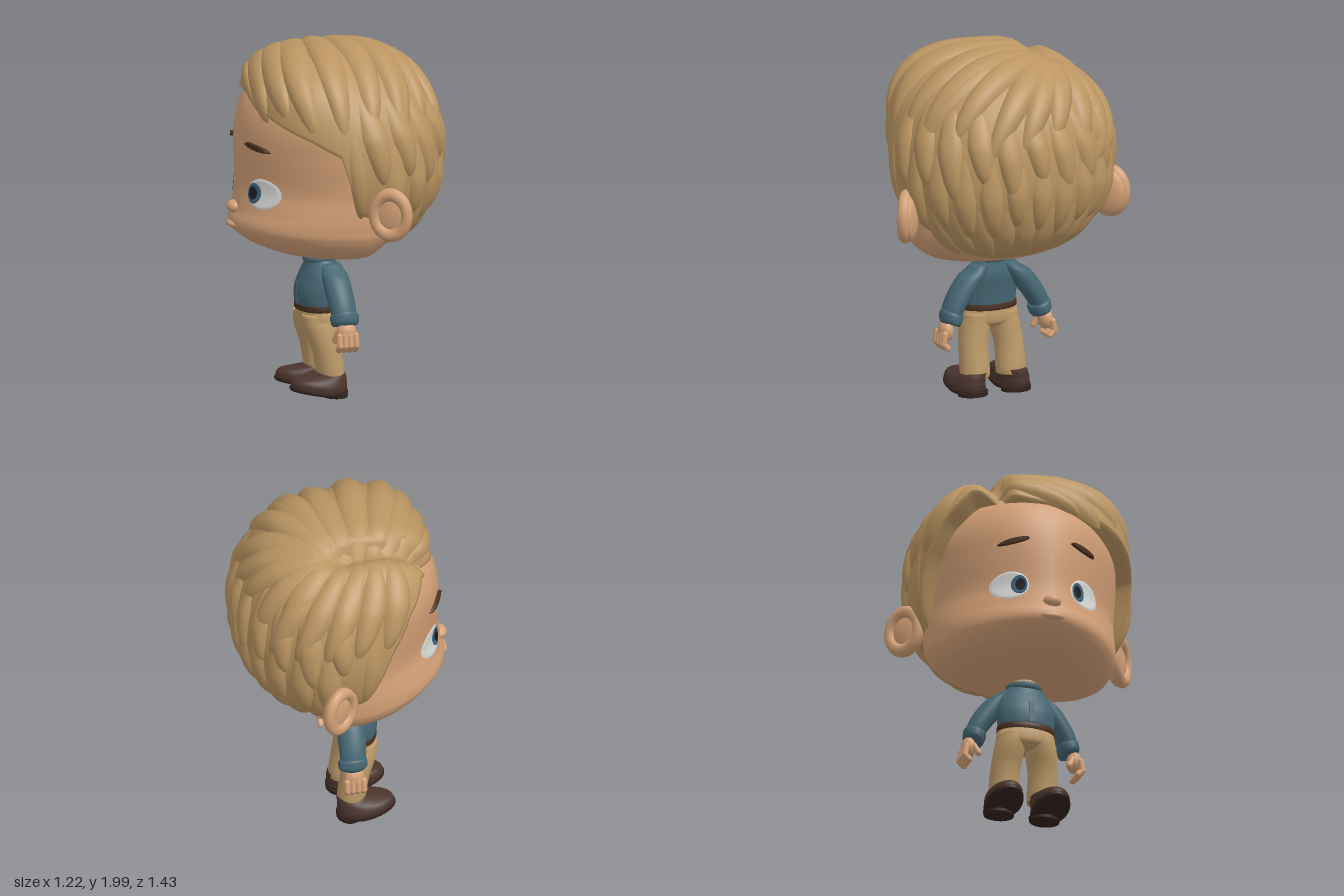
import * as THREE from 'three';
import { mergeVertices, mergeGeometries } from 'three/addons/utils/BufferGeometryUtils.js';

const V = (x, y, z) => new THREE.Vector3(x, y, z);
const paint = (name, color) => {
  const m = new THREE.MeshStandardMaterial({ color, side: THREE.DoubleSide });
  m.name = name;
  return m;
};
const RAD = Math.PI / 180;

// Smooth surface from a rule p(u, v), u and v running 0..1
function grid(p, nu, nv) {
  const pos = [], idx = [];
  for (let j = 0; j <= nv; j++)
    for (let i = 0; i <= nu; i++) pos.push(...p(i / nu, j / nv).toArray());
  for (let j = 0; j < nv; j++)
    for (let i = 0; i < nu; i++) {
      const a = j * (nu + 1) + i, d = a + nu + 1;
      idx.push(a, a + 1, d, a + 1, d + 1, d);
    }
  let g = new THREE.BufferGeometry();
  g.setAttribute('position', new THREE.Float32BufferAttribute(pos, 3));
  g.setIndex(idx);
  g = mergeVertices(g, 1e-5);
  g.computeVertexNormals();
  return g;
}

// Catmull-Rom between rows; the first column (height) stays linear
function rowAt(rows, f) {
  const n = rows.length - 1, i = Math.min(Math.floor(f), n - 1), t = f - i;
  const [a, b, c, d] = [Math.max(i - 1, 0), i, i + 1, Math.min(i + 2, n)].map(k => rows[k]);
  return b.map((q, k) => {
    if (k === 0) return q + (c[0] - q) * t;
    const cubic = 3 * (q - c[k]) + d[k] - a[k];
    const square = 2 * a[k] - 5 * q + 4 * c[k] - d[k];
    return q + 0.5 * t * (c[k] - a[k] + t * (square + t * cubic));
  });
}

// Closed loft through rows of [y, cx, cz, rx, rz]
function loft(rows, warp = p => p) {
  const n = (rows.length - 1) * 5;
  return grid((u, v) => {
    const k = Math.round(v * (n + 2)) - 1;
    const [y, cx, cz, rx, rz] = rowAt(rows, THREE.MathUtils.clamp(k, 0, n) / 5);
    const r = k < 0 || k > n ? 0 : 1, a = u * 2 * Math.PI;
    return warp(V(cx - r * rx * Math.cos(a), y, cz + r * rz * Math.sin(a)));
  }, 28, n + 2);
}

// Head rows: [y, front x, back x, half width, front roundness]
const HEAD = [
  [0.785, 0.018, 0.022, 0.002, 2], [0.80, -0.22, 0.15, 0.27, 2], [0.83, -0.36, 0.2, 0.40, 2],
  [0.88, -0.48, 0.25, 0.48, 1.9], [0.95, -0.57, 0.31, 0.525, 1.8], [1.0, -0.595, 0.35, 0.535, 1.75],
  [1.07, -0.575, 0.38, 0.54, 1.7], [1.2, -0.56, 0.42, 0.535, 1.6], [1.4, -0.56, 0.45, 0.54, 1.75],
  [1.55, -0.545, 0.44, 0.53, 1.9], [1.68, -0.5, 0.4, 0.47, 2], [1.78, -0.4, 0.3, 0.36, 2], [1.84, -0.12, 0.1, 0.1, 2]];
const HX = 0.02;
function headGeometry() {
  const n = HEAD.length - 1;
  return grid((u, v) => {
    const [y, f, b, w, e] = rowAt(HEAD, v * n);
    const a = u * 2 * Math.PI, c = Math.cos(a), s = Math.sin(a), q = c > 0 ? 2 / e : 1;
    const reach = c > 0 ? HX - f : b - HX;
    return V(HX - Math.sign(c) * Math.abs(c) ** q * reach, y, Math.sign(s) * Math.abs(s) ** q * w);
  }, 72, n * 5);
}
function faceX(y, z) {
  let i = 0;
  while (i < HEAD.length - 2 && HEAD[i + 1][0] < y) i++;
  const [, f, , w, e] = rowAt(HEAD, i + (y - HEAD[i][0]) / (HEAD[i + 1][0] - HEAD[i][0]));
  return HX - (HX - f) * Math.max(0, 1 - (Math.abs(z) / w) ** e) ** (1 / e);
}
// Thin oval lying on the face
const facePatch = (y0, z0, ry, rz, off, slope = 0) => grid((r, a) => {
  const t = a * 2 * Math.PI, dz = r * rz * Math.cos(t);
  const z = z0 + dz, y = y0 + r * ry * Math.sin(t) + slope * dz;
  return V(faceX(y, z) - (r === 1 ? 0 : off), y, z);
}, 10, 32);

// Hair volume as a distance along a direction from the head's middle
const HC = V(0.02, 1.37, 0);
const dirOf = (phi, beta) => V(-Math.cos(phi * RAD) * Math.cos(beta * RAD), Math.sin(beta * RAD), Math.sin(phi * RAD) * Math.cos(beta * RAD));
function hairPoint(d, off = 0) {
  const n = 2.15 + 2.2 * Math.max(0, -d.x) * Math.max(0, d.y);
  const s = (Math.abs(d.x) / (d.x < 0 ? 0.55 : 0.56)) ** n + (Math.abs(d.y) / (d.y > 0 ? 0.6 : 0.57)) ** n + (Math.abs(d.z) / 0.62) ** n;
  const r = s ** (-1 / n), p = d.clone().multiplyScalar(r).add(HC);
  // Groove of the parting
  const across = (p.z + 0.28) / 0.055;
  const along = THREE.MathUtils.smoothstep(p.y, 1.5, 1.65) * (1 - THREE.MathUtils.smoothstep(p.x, 0, 0.2));
  const cut = 0.1 * Math.exp(-across * across) * along;
  return d.clone().multiplyScalar(r - cut + off).add(HC);
}
// Hairline height by angle round the head
const EDGE = [[-180, 0.81], [-112, 0.82], [-102, 0.95], [-96, 1.08], [-85, 1.1], [-72, 1.42], [-60, 1.6], [-45, 1.72], [0, 1.7],
  [30, 1.63], [60, 1.52], [75, 1.44], [85, 1.12], [96, 1.08], [102, 0.95], [112, 0.82], [180, 0.81]];
function hairCap() {
  return grid((u, v) => {
    const phi = u * 360 - 180;
    let i = 0;
    while (i < EDGE.length - 2 && EDGE[i + 1][0] < phi) i++;
    const [p, q] = [EDGE[i], EDGE[i + 1]];
    const y = q[1] + (p[1] - q[1]) * (q[0] - phi) / (q[0] - p[0]);
    const b0 = Math.asin((y - HC.y) / 0.6) / RAD;
    const row = Math.round(v * 42), t = Math.max(0, (row - 2) / 40);
    return hairPoint(dirOf(phi, b0 + (90 - b0) * t), row === 0 ? -0.16 : row === 1 ? -0.025 : 0);
  }, 120, 42);
}
// Tapered lock hugging the hair volume
function lock(phi0, beta0, phi1, beta1, W, H, bend = 0) {
  const a = dirOf(phi0, beta0), c = dirOf(phi1, beta1);
  const side = a.clone().cross(c).normalize();
  const mid = a.clone().add(c).normalize().multiplyScalar(1.1).addScaledVector(side, bend);
  const curve = new THREE.QuadraticBezierCurve3(a, mid, c);
  return grid((u, t) => {
    const s = u * 2 - 1, d = curve.getPoint(t).normalize();
    const across = curve.getTangent(t).cross(d).normalize();
    const w = W * Math.min(1, 0.45 + 1.3 * t) * Math.sqrt(Math.max(0, 1 - t ** 2.2));
    const off = -0.012 + (H + 0.012) * (1 - Math.abs(s) ** 2.6) * Math.min(1, 0.25 + 1.5 * t) * (1 - t ** 8);
    return hairPoint(d.addScaledVector(across, s * w).normalize(), off);
  }, 10, 18);
}

export function createModel() {
  const skin = paint('skin', 0xd3a077), hair = paint('hair', 0xbb9562), shirt = paint('shirt blue', 0x456672),
    pants = paint('trouser tan', 0xbd9a68), shoe = paint('shoe brown', 0x4b352d), sole = paint('sole dark brown', 0x33241e),
    white = paint('eye white', 0xd8d8d6), blue = paint('iris blue', 0x3d617a), black = paint('pupil black', 0x1c1a1e),
    brown = paint('belt and brow brown', 0x4a2f20);
  const model = new THREE.Group();
  const add = (name, geo, mat, pos = [0, 0, 0]) => {
    const m = new THREE.Mesh(geo, mat);
    m.name = name;
    m.position.set(...pos);
    model.add(m);
    return m;
  };
  const ball = (name, mat, pos, size) => add(name, new THREE.SphereGeometry(1, 28, 18), mat, pos).scale.set(...size);
  const limb = (name, mat, r, ...pts) =>
    pts.slice(1).forEach((b, i) => {
      const p = V(...pts[i]), q = V(...b), d = q.clone().sub(p);
      const m = add(name, new THREE.CapsuleGeometry(r, d.length(), 5, 12), mat, p.add(q).multiplyScalar(0.5).toArray());
      m.quaternion.setFromUnitVectors(V(0, 1, 0), d.normalize());
    });

  // Head and face
  add('head', headGeometry(), skin);
  ball('nose', skin, [-0.57, 1.08, 0], [0.042, 0.036, 0.052]);
  ball('lowerLip', skin, [-0.575, 0.985, 0], [0.035, 0.022, 0.07]);
  add('neck', new THREE.CylinderGeometry(0.07, 0.075, 0.14, 24), skin, [-0.07, 0.78, 0]);

  // Hair: cap, then layered locks from nape to crown
  add('hairCap', hairCap(), hair);
  const locks = [];
  for (let i = 0; i < 10; i++) locks.push(lock(112 + i * 15, -15, 116 + i * 14.2, -62 + 4 * Math.sin(i * 2.3), 0.13, 0.022));
  for (let i = 0; i < 11; i++) locks.push(lock(104 + i * 15, 12, 106 + i * 14.8, -36 + 5 * Math.sin(i * 1.9), 0.14, 0.03));
  for (let i = 0; i < 11; i++) locks.push(lock(88 + i * 17, 38, 98 + i * 16.4, -10 + 6 * Math.sin(i * 2.7), 0.15, 0.034));
  for (let i = 0; i < 7; i++) locks.push(lock(-105, 62, 108 + i * 20, 14 + 5 * Math.sin(i * 2.1), 0.17, 0.04, -0.06));
  add('backLocks', mergeGeometries(locks), hair);
  // Front sweep, from the parting across the forehead
  const sweep = [];
  for (let i = 0; i < 6; i++) sweep.push(lock(-48 - i * 10, 48 + i * 3, 32 + i * 15, 22 - i * 2 + 3 * Math.sin(i * 2), 0.17, 0.035, 0.1));
  sweep.push(lock(-42, 42, 22, 27, 0.1, 0.035, 0.04));
  add('frontSweep', mergeGeometries(sweep), hair);
  // Short side of the parting
  const shortSide = [];
  for (let i = 0; i < 5; i++) shortSide.push(lock(-55 - i * 13, 52 + i * 2, -76 - i * 16, 8 - 2 * i, 0.15, 0.04, 0.05));
  add('shortSideLocks', mergeGeometries(shortSide), hair);

  // Torso, belt and hips
  add('torso', loft([[0.47, -0.1, 0, 0.1, 0.152], [0.52, -0.105, 0, 0.107, 0.16], [0.6, -0.1, 0, 0.11, 0.165],
    [0.68, -0.08, 0, 0.1, 0.15], [0.74, -0.072, 0, 0.085, 0.11], [0.78, -0.07, 0, 0.08, 0.085]]), shirt);
  const collar = add('collar', new THREE.TorusGeometry(0.08, 0.022, 10, 32), shirt, [-0.07, 0.765, 0]);
  collar.rotation.set(Math.PI / 2, 0.12, 0);
  add('placket', new THREE.BoxGeometry(0.008, 0.12, 0.03), shirt, [-0.211, 0.57, 0]);
  add('belt', loft([[0.475, -0.102, 0, 0.108, 0.163], [0.49, -0.102, 0, 0.11, 0.165], [0.508, -0.102, 0, 0.108, 0.163]]), brown);
  add('hips', loft([[0.375, -0.1, 0, 0.07, 0.1], [0.4, -0.1, 0, 0.1, 0.16], [0.44, -0.1, 0, 0.106, 0.168], [0.485, -0.1, 0, 0.103, 0.16]]), pants);

  for (const s of [1, -1]) {
    // Eye and brow
    add('eyeWhite', facePatch(1.185, s * 0.215, 0.085, 0.095, 0.006), white);
    add('iris', facePatch(1.185, s * 0.17, 0.062, 0.043, 0.009), blue);
    add('pupil', facePatch(1.185, s * 0.165, 0.04, 0.026, 0.0115), black);
    add('eyebrow', facePatch(1.445, s * 0.2, 0.016, 0.08, 0.02, -s * 0.2), brown);
    // Ear: bowl and rim
    const turn = s > 0 ? -0.64 : 0.64 - Math.PI;
    const bowl = add('earBowl', new THREE.SphereGeometry(1, 24, 16), skin, [0.145, 1.11, s * 0.605]);
    bowl.scale.set(0.11, 0.135, 0.045);
    bowl.rotation.y = turn;
    const rim = add('earRim', new THREE.TorusGeometry(0.1, 0.034, 12, 36), skin, [0.13, 1.115, s * 0.625]);
    rim.scale.set(0.95, 1.13, 1);
    rim.rotation.y = turn;
    // Sideburn
    add('sideburn', lock(s * 80, 26, s * 87, -29, 0.1, 0.012), hair);
    // Sleeve and cuff
    add('sleeve', loft([[0.44, -0.02, s * 0.28, 0.066, 0.05], [0.52, -0.025, s * 0.25, 0.074, 0.064], [0.6, -0.03, s * 0.2, 0.077, 0.075],
      [0.68, -0.035, s * 0.14, 0.075, 0.075], [0.74, -0.045, s * 0.08, 0.06, 0.05]]), shirt);
    add('cuff', loft([[0.425, -0.02, s * 0.28, 0.07, 0.05], [0.44, -0.02, s * 0.277, 0.08, 0.056], [0.48, -0.02, s * 0.267, 0.08, 0.06],
      [0.495, -0.02, s * 0.262, 0.07, 0.056]], p => p.setY(p.y + (Math.abs(p.z) - 0.27) * 0.4)), shirt);
    // Hand
    ball('palm', skin, [-0.02, 0.39, s * 0.305], [0.056, 0.062, 0.04]);
    for (let i = 0; i < 4; i++) {
      const x = -0.068 + i * 0.031;
      limb('finger', skin, 0.018, [x, 0.38, s * 0.33], [x, 0.325, s * 0.34], [x, 0.3, s * 0.315]);
    }
    limb('thumb', skin, 0.018, [-0.06, 0.39, s * 0.285], [-0.072, 0.345, s * 0.262]);
    // Trouser leg
    add('trouserLeg', loft([[0.1, -0.05, s * 0.11, 0.077, 0.083], [0.14, -0.052, s * 0.11, 0.08, 0.085], [0.26, -0.07, s * 0.108, 0.083, 0.082],
      [0.38, -0.095, s * 0.092, 0.098, 0.085], [0.46, -0.1, s * 0.08, 0.1, 0.08]]), pants);
    // Shoe, toe slightly raised
    const lift = p => p.setY(p.y + Math.max(0, -0.08 - p.x) * 0.18);
    add('shoeUpper', loft([[0.03, -0.125, s * 0.135, 0.158, 0.098], [0.06, -0.122, s * 0.135, 0.158, 0.1], [0.085, -0.11, s * 0.132, 0.145, 0.095],
      [0.11, -0.075, s * 0.122, 0.11, 0.088], [0.13, -0.05, s * 0.112, 0.082, 0.078]], lift), shoe);
    add('sole', loft([[0.012, -0.125, s * 0.135, 0.158, 0.096], [0.02, -0.125, s * 0.135, 0.166, 0.103], [0.036, -0.125, s * 0.135, 0.165, 0.102]], lift), sole);
    add('heel', loft([[0, -0.03, s * 0.132, 0.068, 0.085], [0.025, -0.03, s * 0.132, 0.07, 0.088]]), sole);
  }
  return model;
}
